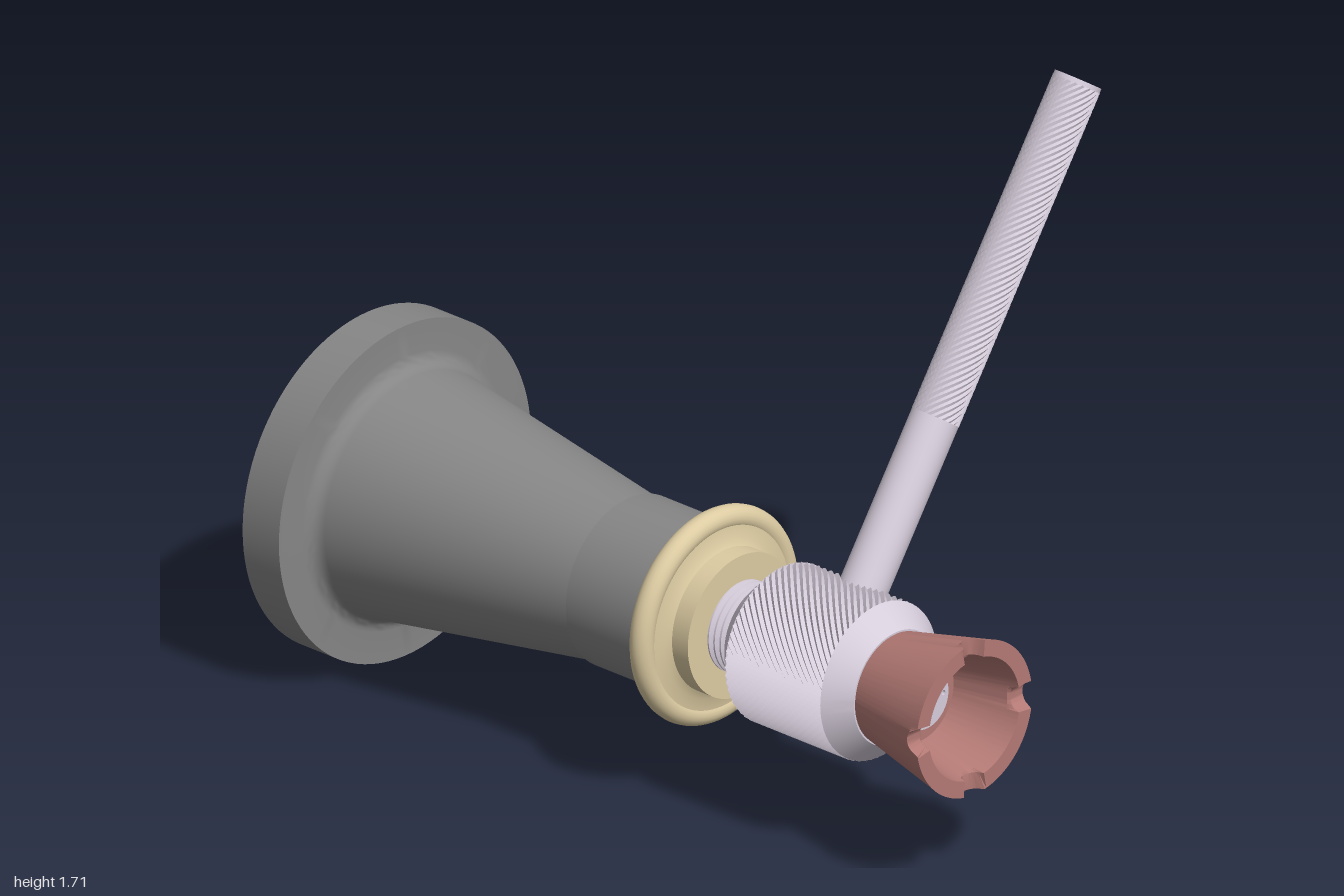
import * as THREE from 'three';
import { toCreasedNormals } from 'three/addons/utils/BufferGeometryUtils.js';

const HORN = 0x868686, STEEL = 0xd6cddb, CREAM = 0xdccba2, RED = 0xb47a75;

const material = (color, extra = {}) => new THREE.MeshStandardMaterial({ color, ...extra });

function addMesh(parent, name, geometry, color, extra) {
  const mesh = new THREE.Mesh(geometry, material(color, extra));
  mesh.name = name;
  parent.add(mesh);
  return mesh;
}

// Revolved profile of [radius, z] pairs around the z axis
function turned(profile, segments = 96) {
  const points = profile.map(([r, z]) => new THREE.Vector2(r, z));
  return new THREE.LatheGeometry(points, segments).rotateX(Math.PI / 2);
}

const sharp = (geometry) => toCreasedNormals(geometry, 0.5);

// Quarter-round points in a profile
function arc(cr, cz, radius, from, to, steps = 6) {
  return Array.from({ length: steps + 1 }, (_, i) => {
    const a = from + ((to - from) * i) / steps;
    return [cr + radius * Math.cos(a), cz + radius * Math.sin(a)];
  });
}

// Cylinder (axis y) with alternating raised and sunken points: a diamond knurl
function knurled(radius, length, around, rows, depth) {
  const g = new THREE.CylinderGeometry(radius, radius, length, around, rows, true);
  const p = g.attributes.position;
  for (let i = 0; i < p.count; i++) {
    const row = Math.floor(i / (around + 1));
    const col = i % (around + 1);
    const s = (row + col) % 2 ? 1 - depth / radius : 1;
    p.setXYZ(i, p.getX(i) * s, p.getY(i), p.getZ(i) * s);
  }
  g.computeVertexNormals();
  return g;
}

// Flared cup whose rim is cut by four round notches
function notchedCup() {
  const g = turned([
    [0.0, 0.74], [0.14, 0.74], [0.189, 0.965], [0.197, 1],
    [0.155, 1], [0.148, 0.965], [0.115, 0.82], [0, 0.82],
  ], 240);
  const p = g.attributes.position, notch = 0.032;
  for (let i = 0; i < p.count; i++) {
    const side = Math.min(Math.abs(p.getX(i)), Math.abs(p.getY(i)));
    if (side < notch) p.setZ(i, Math.min(p.getZ(i), 1 - Math.sqrt(notch ** 2 - side ** 2)));
  }
  return sharp(g);
}

// Round screw face with a slot and two pin holes
function slottedDisc() {
  const shape = new THREE.Shape().absarc(0, 0, 0.075, 0, Math.PI * 2);
  const slot = new THREE.Path();
  slot.moveTo(-0.034, -0.008).lineTo(-0.034, 0.008).lineTo(0.034, 0.008).lineTo(0.034, -0.008).closePath();
  shape.holes.push(slot);
  for (const s of [-1, 1]) shape.holes.push(new THREE.Path().absarc(s * 0.058, 0, 0.006, 0, Math.PI * 2, true));
  return new THREE.ExtrudeGeometry(shape, { depth: 0.02, bevelEnabled: false, curveSegments: 32 });
}

export function createModel() {
  const model = new THREE.Group();
  model.name = 'hornAndClamp';
  const axis = new THREE.Group();
  axis.name = 'mainAxis';
  axis.position.set(-0.23, 0.43, 0);
  model.add(axis);

  // Hollow horn: bore, rear flange, fillet, taper and collar
  addMesh(axis, 'horn', sharp(turned([
    [0, 0.03], [0.15, 0.03], [0.15, -0.14], [0.235, -0.95], [0.262, -0.95], [0.262, -1],
    [0.43, -1], [0.43, -0.88],
    ...arc(0.35, -0.84, 0.04, -Math.PI / 2, -Math.PI + 0.13),
    [0.205, -0.14], [0.216, -0.14], [0.216, 0.115], [0, 0.115],
  ])), HORN);

  // Rounded ring with stepped neck
  const ring = new THREE.Group();
  ring.name = 'ring';
  axis.add(ring);
  const bead = addMesh(ring, 'ringBead', new THREE.TorusGeometry(0.245, 0.03, 20, 96), CREAM);
  bead.position.z = 0.14;
  addMesh(ring, 'ringNeck', sharp(turned([
    [0, 0.115], [0.245, 0.115], [0.245, 0.165], [0.2, 0.168], [0.182, 0.178], [0.182, 0.23], [0, 0.23],
  ])), CREAM);

  // Threaded shank
  const thread = [[0, -0.02], [0.11, -0.02], [0.11, 0.22]];
  for (let z = 0.222; z < 0.3; z += 0.02) thread.push([0.098, z], [0.115, z + 0.007], [0.115, z + 0.012], [0.098, z + 0.019]);
  thread.push([0, 0.31]);
  addMesh(axis, 'threadedShank', sharp(turned(thread)), STEEL);

  // Clamp head: chamfered body with knurled sleeve
  const head = new THREE.Group();
  head.name = 'clampHead';
  axis.add(head);
  addMesh(head, 'headBody', sharp(turned([
    [0, 0.305], [0.135, 0.305], [0.199, 0.37], [0.193, 0.371],
    [0.193, 0.683], [0.199, 0.684], [0.145, 0.742], [0, 0.742],
  ])), STEEL);
  const sleeve = addMesh(head, 'headKnurl', knurled(0.201, 0.314, 120, 30, 0.008), STEEL, { flatShading: true });
  sleeve.rotation.x = Math.PI / 2;
  sleeve.position.z = 0.527;

  // Front cup and screw
  addMesh(axis, 'notchedCup', notchedCup(), RED);
  addMesh(axis, 'screwFace', slottedDisc(), STEEL).position.z = 0.822;

  // Tilted handle: smooth shaft, knurled grip, flat end
  const handle = new THREE.Group();
  handle.name = 'handle';
  handle.position.z = 0.53;
  handle.rotation.z = -Math.atan2(0.84, 1.245);
  axis.add(handle);
  const shaft = addMesh(handle, 'handleShaft', new THREE.CylinderGeometry(0.06, 0.06, 0.52, 48), STEEL);
  shaft.position.y = 0.37;
  const core = addMesh(handle, 'handleCore', new THREE.CylinderGeometry(0.056, 0.056, 0.88, 48), STEEL);
  core.position.y = 1.06;
  const grip = addMesh(handle, 'handleGrip', knurled(0.061, 0.86, 40, 90, 0.004), STEEL, { flatShading: true });
  grip.position.y = 1.06;
  const cap = addMesh(handle, 'handleEnd', new THREE.CylinderGeometry(0.06, 0.06, 0.012, 48), STEEL);
  cap.position.y = 1.495;

  return model;
}
